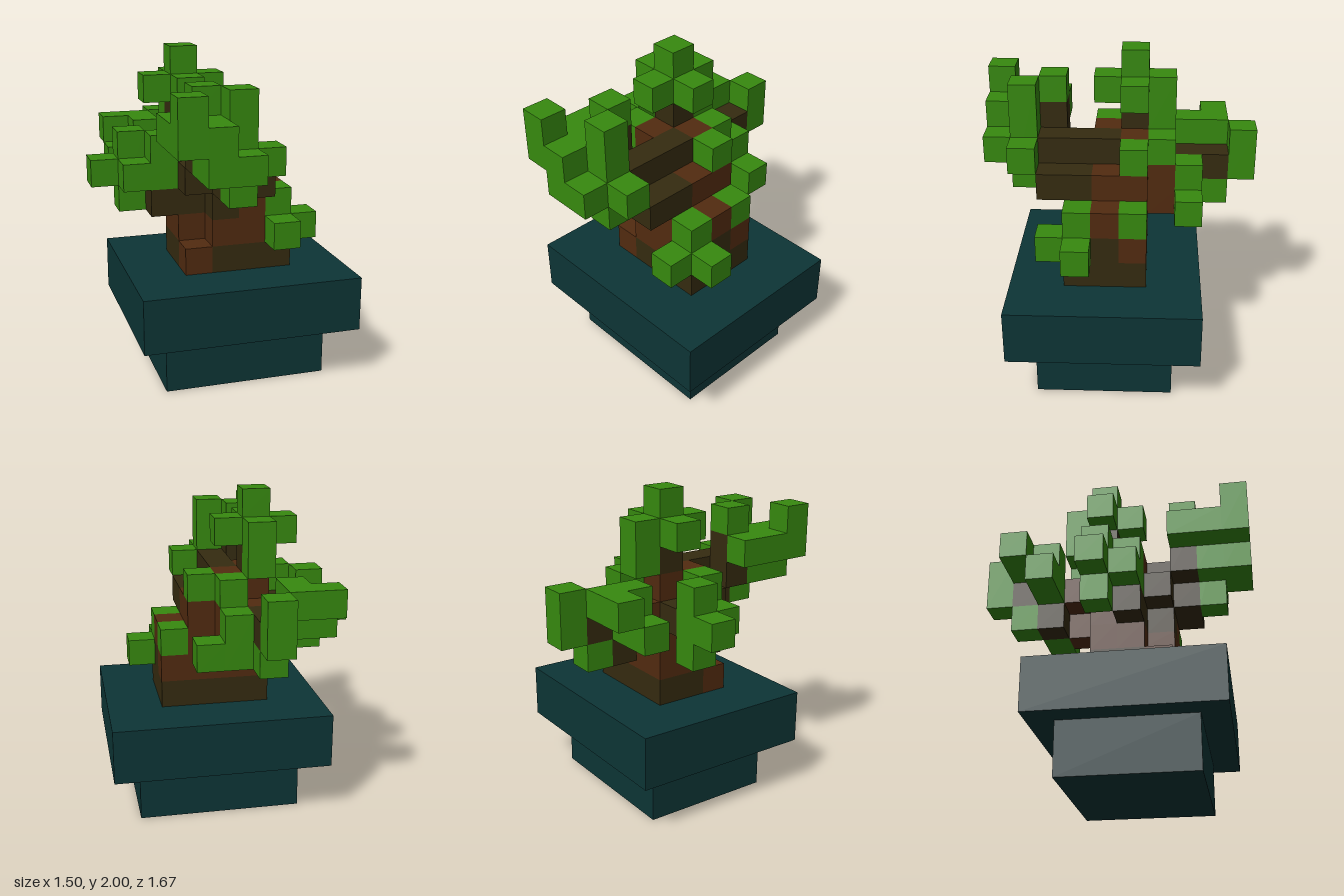
import * as THREE from 'three';

// Grid cell: 9 x 12 x 10 cells of one sixth of a unit
const S = 1 / 6;

const mat = (name, color) => {
  const m = new THREE.MeshStandardMaterial({ color });
  m.name = name;
  return m;
};

// Adds a box that starts at cell (i, j, k) and spans (w, h, d) cells
function block(parent, name, material, [i, j, k, w = 1, h = 1, d = 1]) {
  const mesh = new THREE.Mesh(new THREE.BoxGeometry(w * S, h * S, d * S), material);
  mesh.position.set((i + w / 2 - 4.5) * S, (j + h / 2) * S, (k + d / 2 - 5) * S);
  mesh.name = name;
  parent.add(mesh);
}

export function createModel() {
  const model = new THREE.Group();
  model.name = 'pottedTree';
  const teal = mat('potTeal', 0x0d3536);
  const red = mat('reddishBark', 0x522b10);
  const dark = mat('darkBark', 0x352b10);
  const green = mat('leafGreen', 0x378a0f);

  const part = (groupName, pieceName, material, runs) => {
    const group = new THREE.Group();
    group.name = groupName;
    runs.forEach((run) => block(group, pieceName, material, run));
    model.add(group);
  };

  // Pot
  part('pot', 'potBase', teal, [[2, 0, 3, 6, 2, 5]]);
  part('potEdge', 'potRim', teal, [[1, 2, 2, 8, 2, 7]]);

  // Trunk
  part('trunkFoot', 'darkTrunk', dark, [
    [3, 4, 4, 4, 1, 2], [4, 4, 6, 3, 1, 1],
    [6, 5, 5, 1, 1, 2],
  ]);
  part('trunkCore', 'redTrunk', red, [
    [3, 4, 6], [3, 5, 5], [4, 5, 5, 2, 1, 2], [3, 5, 4, 4, 1, 1],
    [3, 6, 4, 3, 1, 1], [5, 6, 5, 2, 1, 1], [5, 6, 6], [4, 6, 3],
    [3, 7, 3, 2, 1, 1], [3, 7, 4, 3, 1, 2],
    [3, 8, 4, 2, 1, 1], [3, 8, 5],
  ]);

  // Branches
  part('leftBranch', 'leftBranchWood', dark, [[2, 6, 5, 3, 1, 1], [4, 6, 6], [2, 7, 4]]);
  part('frontBranch', 'frontBranchWood', dark, [
    [3, 7, 6, 3, 1, 1], [4, 7, 7, 2, 1, 1], [4, 8, 5, 1, 1, 3], [3, 8, 7, 1, 2, 1],
  ]);
  part('backBranch', 'backBranchWood', dark, [[3, 7, 1, 1, 1, 2], [3, 6, 2]]);
  part('topBranch', 'topBranchWood', dark, [[3, 9, 4]]);

  // Leaves at the crown
  part('crownLeaves', 'crownLeaf', green, [
    [2, 10, 4, 3, 1, 1], [3, 10, 5], [3, 9, 3, 1, 2, 1], [3, 11, 4],
    [4, 8, 3], [5, 8, 4],
  ]);

  // Leaves on the front branch
  part('frontLeaves', 'frontLeaf', green, [
    [2, 9, 9, 1, 2, 1], [3, 8, 9, 1, 2, 1], [4, 8, 9],
    [2, 9, 7, 1, 1, 2], [3, 8, 8, 1, 2, 1], [3, 10, 7],
    [4, 7, 8, 1, 4, 1], [5, 8, 8],
  ]);

  // Leaves on the back branch
  part('backLeaves', 'backLeaf', green, [
    [3, 7, 0, 1, 2, 1], [1, 8, 1, 2, 1, 1], [2, 8, 2], [1, 7, 2, 2, 1, 1],
    [3, 6, 1], [4, 6, 2, 1, 2, 1], [5, 6, 2],
  ]);

  // Leaves on the -x branch
  part('leftLeaves', 'leftLeaf', green, [
    [0, 7, 4], [1, 6, 4, 1, 3, 1], [1, 7, 5, 2, 1, 1], [2, 8, 5],
  ]);

  // Low leaves on the +x side
  part('lowLeaves', 'lowLeaf', green, [[6, 6, 6], [6, 5, 7], [7, 5, 6], [6, 6, 4]]);

  return model;
}
